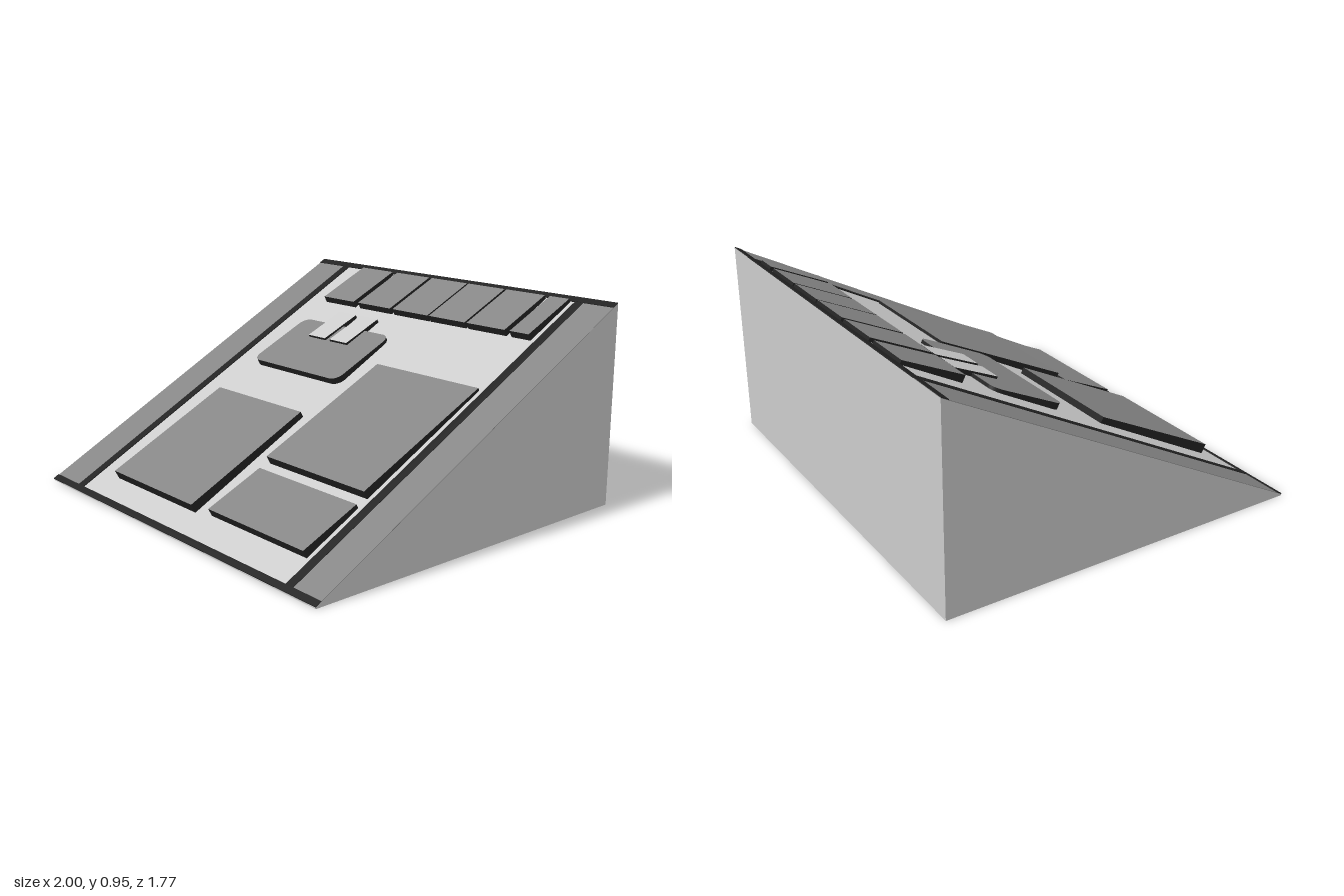
import * as THREE from 'three';

// Sloped console: half depth, front edge height, back edge height
const D = 0.885, Y0 = 0.006, Y1 = 0.945;
const YC = (Y0 + Y1) / 2;
const A = Math.atan2(Y1 - Y0, 2 * D);
const SIN = Math.sin(A), COS = Math.cos(A);
const HALF = D / COS; // half length of the slope

const mat = (color) => new THREE.MeshStandardMaterial({ color, flatShading: true });

export function createModel() {
  const model = new THREE.Group();
  const light = mat(0xcccccc), mid = mat(0x868686), dark = mat(0x222222);

  // Wedge body: side profile extruded across the width
  const profile = new THREE.Shape([[-D, 0], [D, 0], [D, Y1], [-D, Y0]].map(([a, b]) => new THREE.Vector2(a, b)));
  const wedge = new THREE.ExtrudeGeometry(profile, { depth: 2, bevelEnabled: false });
  wedge.translate(0, 0, -1).rotateY(Math.PI / 2);
  const body = new THREE.Mesh(wedge, light);
  body.name = 'wedgeBody';
  model.add(body);

  // Slope frame: local x across, y up the slope, z out of the slope
  const slope = new THREE.Group();
  slope.name = 'slopingPanel';
  slope.position.y = YC;
  slope.rotation.x = A - Math.PI / 2;
  model.add(slope);

  // Flat strips lying on the slope
  function strip(name, x0, x1, u0, u1, h, material) {
    const mesh = new THREE.Mesh(new THREE.BoxGeometry(x1 - x0, u1 - u0, h), material);
    mesh.position.set((x0 + x1) / 2, (u0 + u1) / 2, h / 2);
    mesh.name = name;
    slope.add(mesh);
  }
  strip('leftSidePanel', 0.835, 1, -HALF, HALF, 0.002, mid);
  strip('rightSidePanel', -1, -0.8, -HALF, HALF, 0.002, mid);
  strip('leftDivider', 0.79, 0.835, -HALF, HALF, 0.004, dark);
  strip('rightDivider', -0.8, -0.755, -HALF, HALF, 0.004, dark);
  strip('frontBorder', -1, 1, -HALF, -HALF + 0.032, 0.005, dark);
  strip('backBorder', -1, 1, HALF - 0.036, HALF, 0.005, dark);

  // Raised plate given by the z, y of its front and back top edges; dark rim
  function plate(name, x0, x1, [zf, yf], [zb, yb], face, r = 0) {
    const along = (z, y) => (y - YC) * SIN - z * COS;
    const above = (z, y) => (y - YC) * COS + z * SIN;
    const u0 = along(zf, yf), u1 = along(zb, yb);
    const h0 = above(zf, yf), h1 = above(zb, yb);
    const s = new THREE.Shape();
    if (r > 0) {
      s.absarc(x1 - r, u0 + r, r, -Math.PI / 2, 0);
      s.absarc(x1 - r, u1 - r, r, 0, Math.PI / 2);
      s.absarc(x0 + r, u1 - r, r, Math.PI / 2, Math.PI);
      s.absarc(x0 + r, u0 + r, r, Math.PI, Math.PI * 1.5);
    } else {
      s.moveTo(x0, u0).lineTo(x1, u0).lineTo(x1, u1).lineTo(x0, u1);
    }
    const g = new THREE.ExtrudeGeometry(s, { depth: 1, bevelEnabled: false, curveSegments: 6 });
    // Tilt the top face so the plate thins towards the back
    const p = g.attributes.position;
    for (let i = 0; i < p.count; i++) {
      const t = (p.getY(i) - u0) / (u1 - u0);
      p.setZ(i, p.getZ(i) * (h0 + (h1 - h0) * t));
    }
    g.computeVertexNormals();
    const mesh = new THREE.Mesh(g, [face, dark]);
    mesh.name = name;
    slope.add(mesh);
  }

  // Row of keys along the back
  const keys = [[-0.625, -0.395], [-0.36, -0.125], [-0.105, 0.137], [0.147, 0.38], [0.393, 0.625], [0.655, 0.765]];
  keys.forEach(([a, b], i) => plate('key' + (i + 1), a, b, [-0.56, 0.812], [-0.84, 0.942], mid));

  // Rounded pad with two small switches
  plate('roundedPad', -0.607, 0.03, [-0.065, 0.547], [-0.415, 0.713], mid, 0.05);
  plate('switch1', -0.435, -0.31, [-0.29, 0.667], [-0.5, 0.76], light);
  plate('switch2', -0.275, -0.15, [-0.29, 0.667], [-0.5, 0.76], light);

  // Large panels
  plate('rightLargePanel', -0.605, 0.03, [0.77, 0.12], [0.15, 0.43], mid);
  plate('leftLargePanel', 0.13, 0.765, [0.43, 0.295], [-0.238, 0.617], mid);
  plate('leftSmallPanel', 0.13, 0.765, [0.75, 0.123], [0.47, 0.25], mid);

  return model;
}
